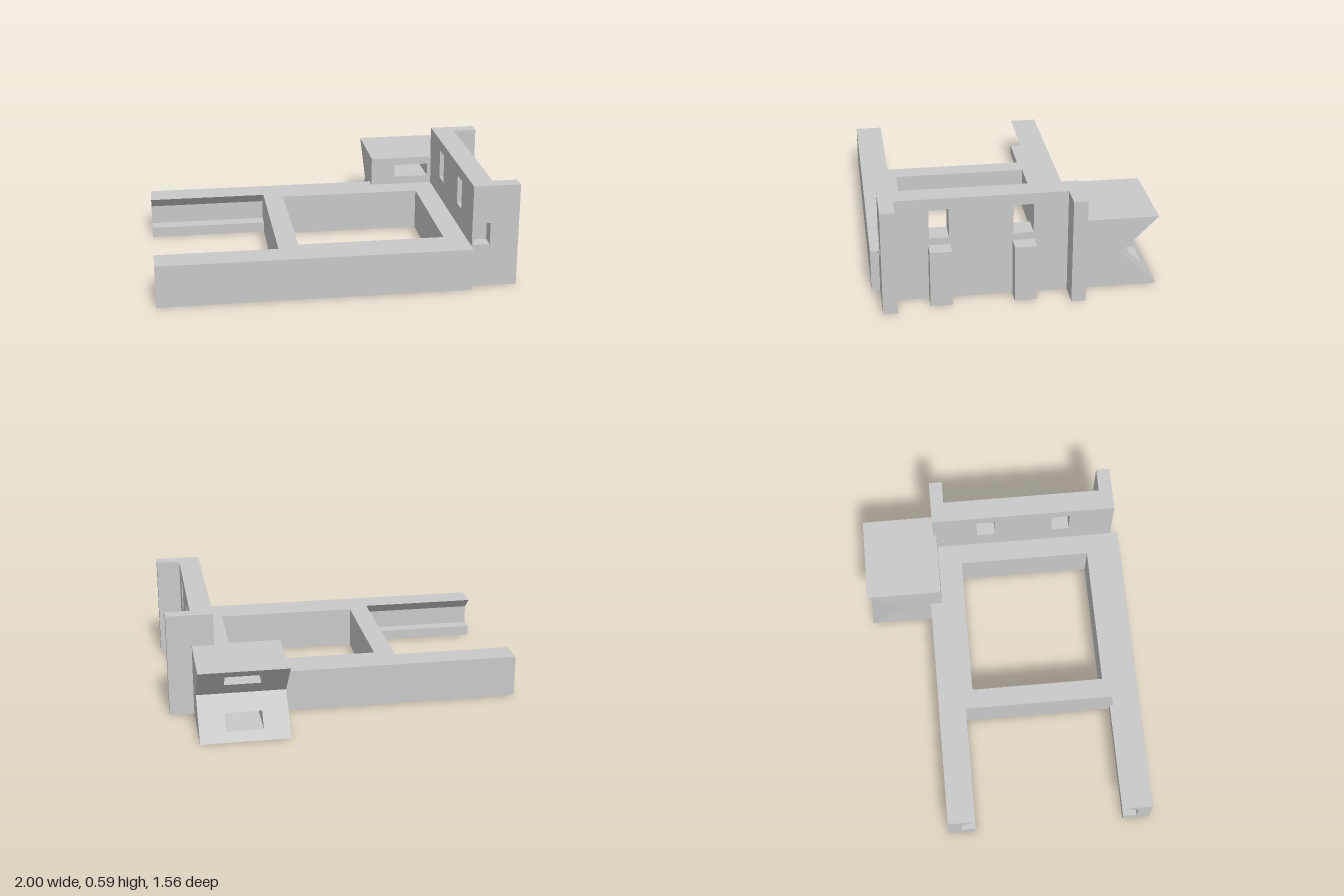
import * as THREE from 'three';

// Rectangle as corner points
const rect = (u0, u1, v0, v1) => [[u0, v0], [u1, v0], [u1, v1], [u0, v1]];

// Points wound counter-clockwise, so hole walls face the right way
function vec(pts) {
  const points = pts.map(([u, v]) => new THREE.Vector2(u, v));
  return THREE.ShapeUtils.isClockWise(points) ? points.reverse() : points;
}

function extrude(outline, depth, holes = []) {
  const shape = new THREE.Shape(vec(outline));
  holes.forEach((h) => shape.holes.push(new THREE.Path(vec(h))));
  return new THREE.ExtrudeGeometry(shape, { depth, bevelEnabled: false });
}

// Outline given as (z, y), swept from x0 to x1
function alongX(outline, x0, x1, holes = []) {
  const flip = (pts) => pts.map(([z, y]) => [-z, y]);
  return extrude(flip(outline), x1 - x0, holes.map(flip)).rotateY(Math.PI / 2).translate(x0, 0, 0);
}

// Outline given as (x, z), raised from y = 0
function alongY(outline, height, holes = []) {
  const flip = (pts) => pts.map(([x, z]) => [x, -z]);
  return extrude(flip(outline), height, holes.map(flip)).rotateX(-Math.PI / 2);
}

// Outline given as (x, y), swept from z0 to z1
const alongZ = (outline, z0, z1, holes) => extrude(outline, z1 - z0, holes).translate(0, 0, z0);

export function createModel() {
  const model = new THREE.Group();
  model.name = 'bracketFrame';
  const grey = new THREE.MeshStandardMaterial({ color: 0xc9c9c9 });
  grey.name = 'grey';
  const add = (name, geometry, parent = model) => {
    const mesh = new THREE.Mesh(geometry, grey);
    mesh.name = name;
    parent.add(mesh);
  };

  // Base frame with a large square opening
  const H = 0.24;
  add('baseFrame', alongY(rect(-0.32, 0.738, -0.406, 0.777), H, [rect(-0.205, 0.615, -0.2, 0.573)]));

  // Two arms, grooved on their inner sides; d points inwards
  for (const [name, z, d] of [['leftArm', 0.777, -1], ['rightArm', -0.406, 1]]) {
    const profile = [[0, 0], [0.158, 0], [0.158, 0.06], [0.078, 0.06], [0.078, 0.17], [0.158, H], [0, H]];
    add(name, alongX(profile.map(([w, y]) => [z + d * w, y]), -1, -0.32));
  }

  // Upright plate with two windows
  const T = 0.59, plateBack = 0.738, plateFront = 0.862;
  const windows = [[0.361, 0.467], [-0.093, 0.015]].map(([a, b]) => rect(a, b, 0.362, 0.527));
  add('uprightPlate', alongX(rect(-0.28, 0.65, 0, T), plateBack, plateFront, windows));

  // End flanges, the front one with a small pocket
  add('frontFlange', alongZ(rect(plateBack, 1, 0, T), 0.65, 0.73, [rect(0.75, 0.84, 0.248, 0.373)]));
  add('backFlange', alongZ(rect(plateBack, 1, 0, T), -0.357, -0.28));

  // Stub blocks below the windows
  for (const [z0, z1] of [[0.355, 0.473], [-0.098, 0.02]]) {
    add('stubBlock', alongX(rect(z0, z1, 0, 0.32), plateFront, 0.95));
  }

  // Rear block with a V notch and a slot through each prong
  const block = new THREE.Group();
  block.name = 'notchedBlock';
  model.add(block);
  const front = -0.34, top = 0.408, mid = top / 2;
  const notchZ = (y) => -0.574 - Math.abs(y - mid);
  const band = (y0, y1) => {
    const pts = [[front, y0], [front, y1], [notchZ(y1), y1]];
    if (y0 < mid && y1 > mid) pts.push([notchZ(mid), mid]);
    return [...pts, [notchZ(y0), y0]];
  };
  add('blockSide', alongX(band(0, top), 0.365, 0.51), block);
  add('blockSide', alongX(band(0, top), 0.715, plateFront), block);
  for (const [y0, y1] of [[0, 0.045], [0.122, 0.287], [0.363, top]]) {
    add('slotWall', alongX(band(y0, y1), 0.51, 0.715), block);
  }
  return model;
}
